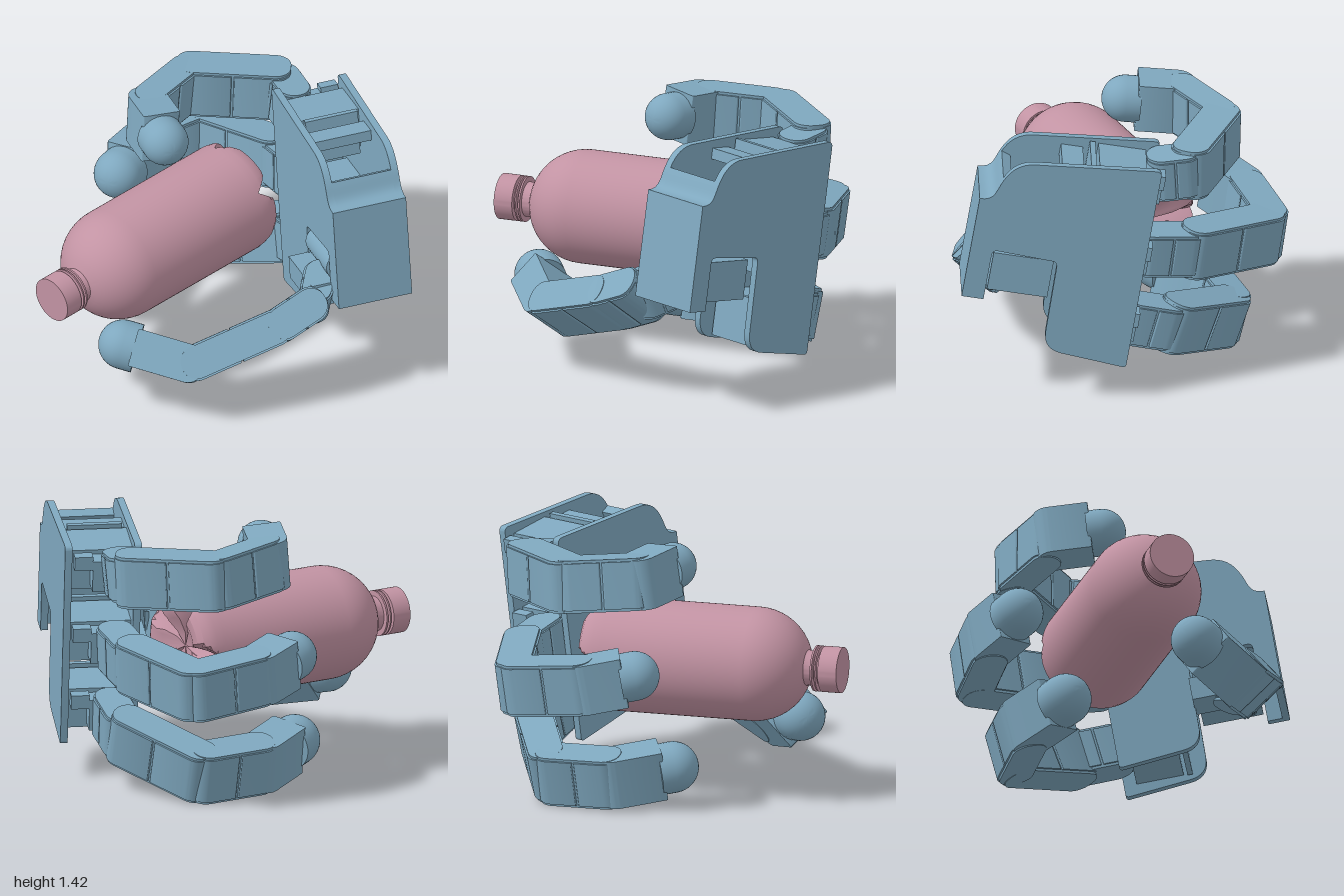
import * as THREE from 'three';
import { toCreasedNormals } from 'three/addons/utils/BufferGeometryUtils.js';

const V = (a) => new THREE.Vector3(...a);
const blue = new THREE.MeshStandardMaterial({ color: 0x7fa8bf });
const pink = new THREE.MeshStandardMaterial({ color: 0xc293a3, side: THREE.DoubleSide });

function mesh(name, geometry, material = blue) {
  const m = new THREE.Mesh(geometry, material);
  m.name = name;
  return m;
}

function box(name, w, h, d, x, y, z) {
  const m = mesh(name, new THREE.BoxGeometry(w, h, d));
  m.position.set(x, y, z);
  return m;
}

// Extrusion centred on z = 0
function slab(shape, depth) {
  const g = new THREE.ExtrudeGeometry(shape, { depth, bevelEnabled: false, curveSegments: 8 });
  g.translate(0, 0, -depth / 2);
  return toCreasedNormals(g, 0.6);
}

// Rectangle from x0 to x1 with its own corner radius at each end
function linkShape(x0, x1, t, r0, r1) {
  const h = t / 2, s = new THREE.Shape();
  s.moveTo(x0 + r0, -h);
  s.lineTo(x1 - r1, -h);
  s.absarc(x1 - r1, -h + r1, r1, -Math.PI / 2, 0);
  s.absarc(x1 - r1, h - r1, r1, 0, Math.PI / 2);
  s.absarc(x0 + r0, h - r0, r0, Math.PI / 2, Math.PI);
  s.absarc(x0 + r0, -h + r0, r0, Math.PI, Math.PI * 1.5);
  return s;
}

// Group at a, with x running to b and z along the hinge axis
function along(name, a, b, up) {
  const g = new THREE.Group();
  g.name = name;
  const x = b.clone().sub(a).normalize();
  const z = up.clone().addScaledVector(x, -up.dot(x)).normalize();
  const y = z.clone().cross(x);
  g.setRotationFromMatrix(new THREE.Matrix4().makeBasis(x, y, z));
  g.position.copy(a);
  return g;
}

// Link: two shells with a seam between them, under a round-ended cover
function link(name, a, b, up, t = 0.21, h = 0.29) {
  const g = along(name, a, b, up), len = a.distanceTo(b), mid = len / 2;
  g.add(mesh('shellNear', slab(linkShape(-0.06, mid - 0.006, t, 0.085, 0.008), h - 0.03)));
  g.add(mesh('shellFar', slab(linkShape(mid + 0.006, len + 0.06, t, 0.008, 0.085), h - 0.03)));
  g.add(mesh('cover', slab(linkShape(-0.06, len + 0.06, t - 0.02, 0.085, 0.085), h)));
  return g;
}

// Last link: a block carrying a round-ended pad
function fingertip(a, b, up, r) {
  const g = along('fingertip', a, b, up), len = a.distanceTo(b);
  g.add(mesh('tipBlock', slab(linkShape(-0.07, len - 0.06, 0.21, 0.085, 0.01), 0.28)));
  const profile = [new THREE.Vector2(0, -0.08), new THREE.Vector2(r, -0.08)];
  for (let i = 0; i <= 10; i++) {
    const q = (i / 10) * Math.PI / 2;
    profile.push(new THREE.Vector2(r * Math.cos(q), r * Math.sin(q)));
  }
  const pad = mesh('roundPad', toCreasedNormals(new THREE.LatheGeometry(profile, 32), 0.6));
  pad.rotation.z = -Math.PI / 2;
  pad.position.x = len;
  g.add(pad);
  return g;
}

function digit(name, points, up, r, thickness = [0.2, 0.21, 0.21]) {
  const g = new THREE.Group(), p = points.map(V), u = V(up), n = p.length;
  g.name = name;
  for (let i = 0; i < n - 2; i++) {
    g.add(link(i === 0 ? 'knuckle' : 'link' + i, p[i], p[i + 1], u, thickness[i], i === 0 ? 0.25 : 0.29));
  }
  g.add(fingertip(p[n - 2], p[n - 1], u, r));
  return g;
}

// Outline shared by the front and back plates, with a bay for the thumb
function plateShape() {
  const s = new THREE.Shape();
  s.moveTo(0.02, -1.18);
  s.lineTo(0.36, -1.15);
  s.quadraticCurveTo(0.46, -1.14, 0.465, -1.04);
  s.lineTo(0.47, -0.65);
  s.quadraticCurveTo(0.47, -0.615, 0.5, -0.615);
  s.lineTo(0.8, -0.6);
  s.quadraticCurveTo(0.83, -0.6, 0.83, -0.63);
  s.lineTo(0.83, -0.895);
  s.lineTo(0.95, -0.895);
  s.lineTo(0.95, -0.305);
  s.bezierCurveTo(0.86, -0.305, 0.87, -0.24, 0.84, -0.18);
  s.bezierCurveTo(0.81, -0.11, 0.76, -0.065, 0.68, -0.06);
  s.lineTo(0.03, 0);
  s.quadraticCurveTo(0, 0, 0, -0.03);
  s.lineTo(0, -1.16);
  s.quadraticCurveTo(0, -1.18, 0.02, -1.18);
  return s;
}

// Curved shoulder and side wall joining the plates
function shoulderShape() {
  const s = new THREE.Shape();
  s.moveTo(0.95, -0.305);
  s.bezierCurveTo(0.86, -0.305, 0.87, -0.24, 0.84, -0.18);
  s.lineTo(0.79, -0.2);
  s.bezierCurveTo(0.82, -0.28, 0.83, -0.34, 0.91, -0.345);
  s.lineTo(0.91, -0.895);
  s.lineTo(0.95, -0.895);
  return s;
}

function palm() {
  const g = new THREE.Group();
  g.name = 'palm';
  const n = V([-0.4, 0, 0.917]).normalize();
  const y = V([-0.153, 0.985, -0.067]).normalize();
  const x = y.clone().cross(n).normalize();
  g.setRotationFromMatrix(new THREE.Matrix4().makeBasis(x, n.clone().cross(x), n));
  g.position.set(-0.03, 1.36, -1.0);

  for (const [name, w] of [['backPlate', 0.02], ['frontPlate', 0.4]]) {
    const m = mesh(name, slab(plateShape(), 0.04));
    m.position.z = w;
    g.add(m);
  }
  const side = mesh('sideWall', slab(shoulderShape(), 0.36));
  side.position.z = 0.21;
  g.add(side);

  // One drive unit behind each finger
  for (const t of [-0.17, -0.6, -1.0]) {
    g.add(box('fingerMotor', 0.26, 0.23, 0.34, 0.2, t, 0.21));
    g.add(box('motorCap', 0.03, 0.26, 0.3, 0.365, t, 0.21));
    g.add(box('fingerMount', 0.1, 0.18, 0.2, 0.02, t, 0.25));
    g.add(box('mountTab', 0.06, 0.08, 0.1, 0.0, t + 0.08, 0.1));
  }
  g.add(box('topBridge', 0.12, 0.06, 0.36, 0.47, -0.12, 0.21));
  g.add(box('innerFloor', 0.4, 0.04, 0.36, 0.68, -0.5, 0.21));

  // Thumb drive in its bay
  g.add(box('thumbMotor', 0.33, 0.22, 0.28, 0.65, -0.75, 0.2));
  const drum = mesh('thumbDrum', new THREE.CylinderGeometry(0.085, 0.085, 0.34, 28));
  drum.rotation.z = Math.PI / 2;
  drum.position.set(0.65, -0.71, 0.35);
  g.add(drum);
  g.add(box('thumbBracket', 0.38, 0.13, 0.2, 0.65, -0.85, 0.43));
  return g;
}

function bottle() {
  const pts = [[0, -0.35], [0.08, -0.36], [0.16, -0.4], [0.2, -0.42], [0.25, -0.42], [0.285, -0.4],
    [0.303, -0.37], [0.31, -0.33], [0.31, -0.28], [0.31, 0.51]];
  for (let i = 1; i <= 10; i++) {
    const q = (i / 10) * 1.25;
    pts.push([0.31 * Math.cos(q), 0.51 + 0.31 * Math.sin(q)]);
  }
  // Neck, collars and cap
  pts.push([0.095, 0.81], [0.095, 0.85], [0.125, 0.85], [0.125, 0.86], [0.095, 0.86], [0.095, 0.872],
    [0.125, 0.872], [0.125, 0.88], [0.095, 0.88], [0.095, 0.895], [0.125, 0.895], [0.125, 1], [0, 1]);
  const geo = new THREE.LatheGeometry(pts.map((p) => new THREE.Vector2(...p)), 80);
  geo.rotateX(Math.PI / 2);

  // Five V-shaped notches cut into the base
  const pos = geo.attributes.position, step = Math.PI * 0.4;
  for (let i = 0; i < pos.count; i++) {
    const x = pos.getX(i), y = pos.getY(i), z = pos.getZ(i);
    if (z > -0.29 || Math.hypot(x, y) < 0.05) continue;
    const turn = Math.atan2(y, x) / step - 0.5;
    const away = Math.abs(turn - Math.round(turn)) * step;
    pos.setZ(i, Math.max(z, -0.42 + 0.12 * Math.max(0, 1 - away / 0.3)));
  }
  const m = mesh('bottle', toCreasedNormals(geo, 0.5), pink);
  m.position.set(-0.215, 0.755, 0);
  return m;
}

export function createModel() {
  const model = new THREE.Group();
  model.name = 'handHoldingBottle';
  model.add(palm(), bottle());
  model.add(digit('upperFinger', [[-0.14, 1.21, -0.72], [-0.3, 1.22, -0.77], [-0.66, 1.235, -0.42],
    [-0.58, 1.26, -0.04], [-0.31, 1.29, 0.07]], [0.03, 1, -0.08], 0.128, [0.2, 0.22, 0.18]));
  model.add(digit('middleFinger', [[-0.06, 0.77, -0.71], [-0.32, 0.74, -0.76], [-0.82, 0.69, -0.66],
    [-0.85, 0.73, -0.27], [-0.76, 0.78, -0.01]], [-0.1, 1, -0.1], 0.135));
  model.add(digit('lowerFinger', [[0.02, 0.37, -0.69], [-0.2, 0.31, -0.74], [-0.65, 0.17, -0.52],
    [-0.68, 0.18, -0.16], [-0.54, 0.23, 0.14]], [-0.25, 1, -0.12], 0.14));
  model.add(digit('thumb', [[0.54, 0.64, -0.27], [0.62, 0.59, -0.16], [0.555, 0.5, 0.04],
    [0.33, 0.34, 0.47], [0.02, 0.42, 0.69]], [0.58, 0.61, 0.54], 0.135, [0.18, 0.2, 0.2]));
  return model;
}
